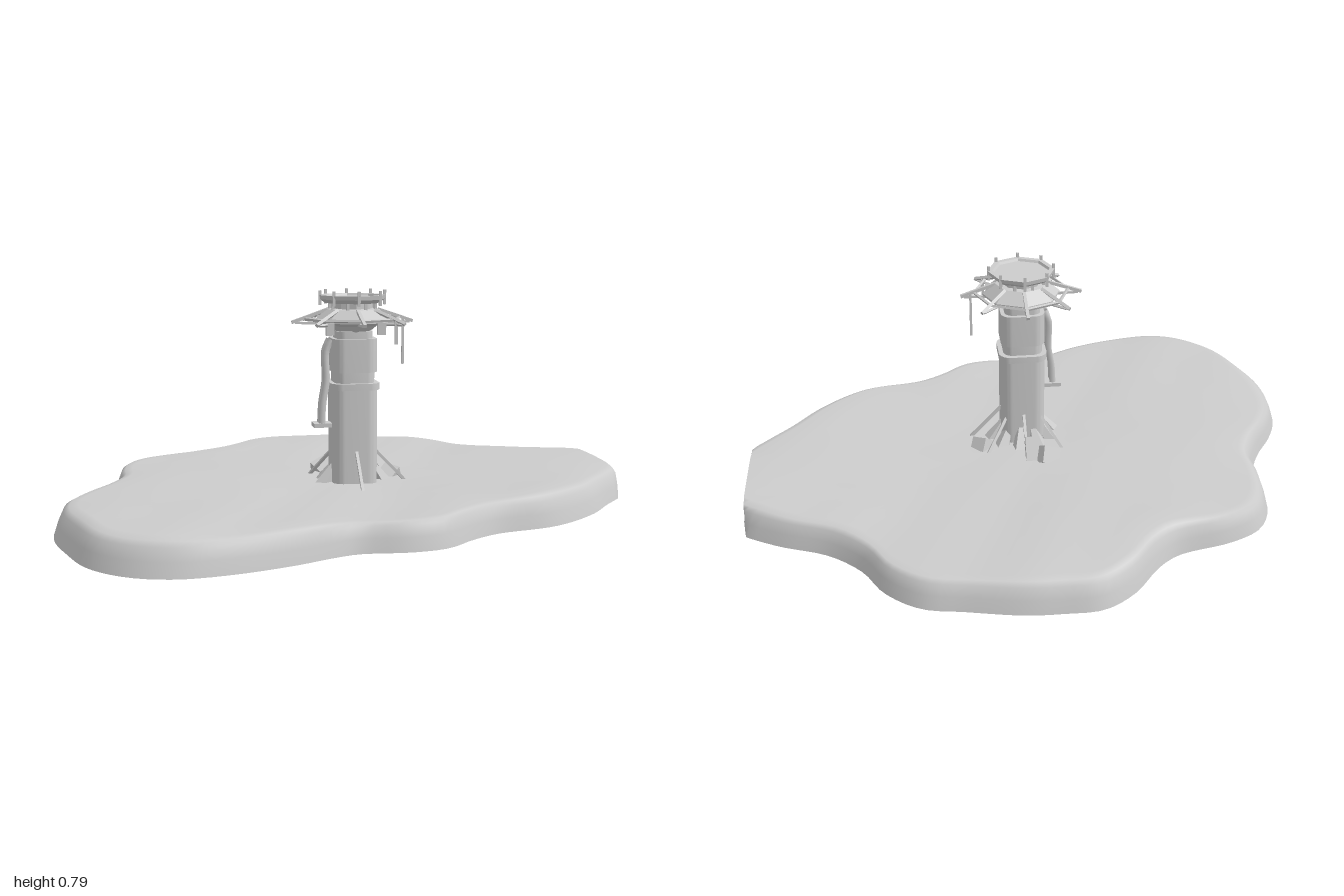
import * as THREE from 'three';
import { toCreasedNormals } from 'three/addons/utils/BufferGeometryUtils.js';

const stone = new THREE.MeshStandardMaterial({ color: 0xcccccc, side: THREE.DoubleSide });
stone.name = 'pale grey stone';
const V = (x, y, z) => new THREE.Vector3(x, y, z);

function add(parent, name, geometry, x = 0, y = 0, z = 0) {
  const mesh = new THREE.Mesh(geometry, stone);
  mesh.name = name;
  mesh.position.set(x, y, z);
  parent.add(mesh);
  return mesh;
}

// Straight bar between two points
function beam(parent, name, a, b, w = 0.01, d = w) {
  const mesh = add(parent, name, new THREE.BoxGeometry(w, a.distanceTo(b), d));
  mesh.position.copy(a).lerp(b, 0.5);
  mesh.quaternion.setFromUnitVectors(V(0, 1, 0), b.clone().sub(a).normalize());
  return mesh;
}

// Upright prism on a rounded square
function roundedPrism(half, y0, y1) {
  const r = half * 0.5, c = half - r;
  const s = new THREE.Shape();
  s.absarc(c, c, r, 0, Math.PI / 2);
  s.absarc(-c, c, r, Math.PI / 2, Math.PI);
  s.absarc(-c, -c, r, Math.PI, Math.PI * 1.5);
  s.absarc(c, -c, r, Math.PI * 1.5, Math.PI * 2);
  const g = new THREE.ExtrudeGeometry(s, { depth: y1 - y0, bevelEnabled: false, curveSegments: 5 });
  g.rotateX(-Math.PI / 2).translate(0, y0, 0);
  return toCreasedNormals(g, 0.6);
}

// Island shell, open underneath and along its straight edge
function islandGeometry() {
  const outline = [
    [0, -.875], [-.13, -.87], [-.24, -.8], [-.34, -.68], [-.42, -.62], [-.61, -.57], [-.72, -.51],
    [-.78, -.41], [-.8, -.27], [-.8, -.16], [-.85, -.04], [-.93, .08], [-.985, .21], [-.99, .37],
    [-.95, .53], [-.88, .71], [-.77, .82], [-.64, .865], [-.48, .85], [-.29, .79], [-.16, .73],
    [-.08, .705], [.08, .715], [.2, .69], [.3, .61], [.4, .55], [.62, .49], [.8, .36], [.91, .23],
    [1, .13], [1.1, 0], [1.14, -.15], [1.1, -.28], [1, -.35], [.88, -.42], [.72, -.49], [.61, -.59],
    [.54, -.71], [.43, -.8], [.3, -.83], [.11, -.87]];
  const curve = new THREE.CatmullRomCurve3(outline.map(([x, z]) => V(x, 0, z)), true);
  const n = 160;
  const edge = curve.getSpacedPoints(n).slice(0, n);
  // ring scale, height, share of surface bumps
  const rings = [[1, .03, 0], [.985, .075, 0], [.968, .112, .2], [.95, .124, .6], [.92, .129, 1],
    [.8, .128, 1], [.66, .128, 1], [.5, .127, 1], [.34, .126, 1], [.18, .125, .5], [.001, .125, 0]];
  const pos = [], index = [];
  for (const [s, y, k] of rings) {
    for (const p of edge) {
      const x = Math.min(p.x * s, 1), z = p.z * s;
      const bump = .006 * Math.sin(5 * x + 2 * z + 3.6) + .004 * Math.sin(9 * z - 4 * x) + .002 * Math.sin(17 * x + 8 * z);
      pos.push(x, y + k * bump, z);
    }
  }
  const onCut = (i) => pos[i * 3] > 0.9999;
  const tri = (a, b, c) => { if (!(onCut(a) && onCut(b) && onCut(c))) index.push(a, b, c); };
  for (let j = 0; j < rings.length - 1; j++) {
    for (let i = 0; i < n; i++) {
      const a = j * n + i, b = j * n + (i + 1) % n;
      tri(a, b, b + n);
      tri(a, b + n, a + n);
    }
  }
  const g = new THREE.BufferGeometry();
  g.setAttribute('position', new THREE.Float32BufferAttribute(pos, 3));
  g.setIndex(index);
  g.computeVertexNormals();
  return g;
}

export function createModel() {
  const model = new THREE.Group();
  model.name = 'islandTower';
  add(model, 'island', islandGeometry());

  const tower = new THREE.Group();
  tower.name = 'tower';
  tower.position.set(0.02, 0, 0.08);
  model.add(tower);

  // Shaft and stacked collars
  add(tower, 'shaft', roundedPrism(0.078, 0.025, 0.45));
  add(tower, 'collar', roundedPrism(0.085, 0.45, 0.473));
  add(tower, 'neck', roundedPrism(0.069, 0.473, 0.51));
  add(tower, 'upperBlock', roundedPrism(0.077, 0.51, 0.625));
  add(tower, 'upperNeck', roundedPrism(0.063, 0.625, 0.65));

  // Eight-sided gallery and top deck
  const oct = (profile) => {
    const g = new THREE.LatheGeometry(profile.map(([r, y]) => new THREE.Vector2(r, y)), 8);
    return toCreasedNormals(g, 0.3);
  };
  add(tower, 'galleryRoof', oct([[0, .64], [.055, .64], [.09, .668], [.135, .68], [.135, .687],
    [.092, .724], [.07, .726], [.07, .75], [0, .75]]));
  add(tower, 'topDeck', oct([[0, .745], [.095, .745], [.115, .758], [.118, .772], [.1, .772],
    [.095, .764], [0, .764]]));

  const at = (i, r, y) => V(r * Math.cos(i * Math.PI / 4), y, r * Math.sin(i * Math.PI / 4));
  for (let i = 0; i < 8; i++) {
    beam(tower, 'spoke', at(i, .09, .722), at(i, .212, .68), .011);
    beam(tower, 'lowerSpoke', at(i, .1, .675), at(i, .2, .678), .008);
    beam(tower, 'outerRail', at(i, .165, .692), at(i + 1, .165, .692), .008);
    beam(tower, 'deckPost', at(i, .113, .738), at(i, .113, .788), .009);
    beam(tower, 'bracket', at(i + .5, .08, .715), at(i + .5, .08, .75), .01);
  }

  // Things hanging from the gallery
  beam(tower, 'hangingPole', V(.178, .53, 0), V(.178, .69, 0), .008);
  beam(tower, 'hangingRod', V(.125, .61, .125), V(.125, .69, .125), .01);
  add(tower, 'hangingBox', new THREE.BoxGeometry(.028, .04, .02), -.097, .662, .1);
  add(tower, 'hangingBox', new THREE.BoxGeometry(.028, .04, .02), .08, .662, .1);

  // Draped cable and ledge on one side wall
  const drape = new THREE.CatmullRomCurve3([V(-.078, .62, 0), V(-.095, .58, 0), V(-.095, .48, .005),
    V(-.108, .4, .01), V(-.112, .33, .01)]);
  for (const z of [-.018, .014]) {
    add(tower, 'drape', new THREE.TubeGeometry(drape, 20, .012, 6), 0, 0, z);
  }
  add(tower, 'drapeLedge', new THREE.BoxGeometry(.065, .014, .06), -.108, .325, .005);

  // Slanting struts around the foot
  const struts = [[0, 1], [1, 0], [0, -1], [.72, -.72], [-.72, -.72]];
  for (const [x, z] of struts) {
    beam(tower, 'strut', V(x * .075, .235, z * .075), V(x * .19, .115, z * .19), .01);
  }
  beam(tower, 'leaningPlank', V(-.02, .19, -.155), V(-.02, .035, -.25), .05, .02);

  // Tapered root wedges on the rear half
  for (let i = 0; i < 6; i++) {
    const a = Math.PI * (0.95 + i * 0.2);
    const wedge = add(tower, 'rootWedge', toCreasedNormals(new THREE.CylinderGeometry(.012, .04, .13, 5), .3));
    wedge.position.set(Math.cos(a) * .1, .13, Math.sin(a) * .1);
    wedge.quaternion.setFromUnitVectors(V(0, 1, 0), V(-Math.cos(a) * .6, 1, -Math.sin(a) * .6).normalize());
  }

  // Broken slabs under the foot
  for (let i = 0; i < 9; i++) {
    const a = i * Math.PI * 2 / 9;
    const slab = add(tower, 'foundationSlab', new THREE.BoxGeometry(.09, .035, .1),
      Math.cos(a) * .12, .052 + .008 * Math.sin(i * 2.3), Math.sin(a) * .12);
    slab.rotation.set(.25 * Math.sin(i * 1.7), -a, .25 * Math.cos(i * 2.9));
  }
  add(tower, 'foundationBlock', new THREE.BoxGeometry(.12, .06, .14), -.135, .03, .07);
  add(tower, 'foundationCore', new THREE.CylinderGeometry(.1, .07, .07, 7), 0, .06, 0);
  const rock = add(tower, 'rock', new THREE.BoxGeometry(.07, .06, .06), -.07, .13, -.19);
  rock.rotation.set(.5, .5, .2);
  const sideRock = add(tower, 'rock', new THREE.BoxGeometry(.06, .05, .06), .15, .12, -.08);
  sideRock.rotation.set(.3, .8, .4);
  return model;
}
